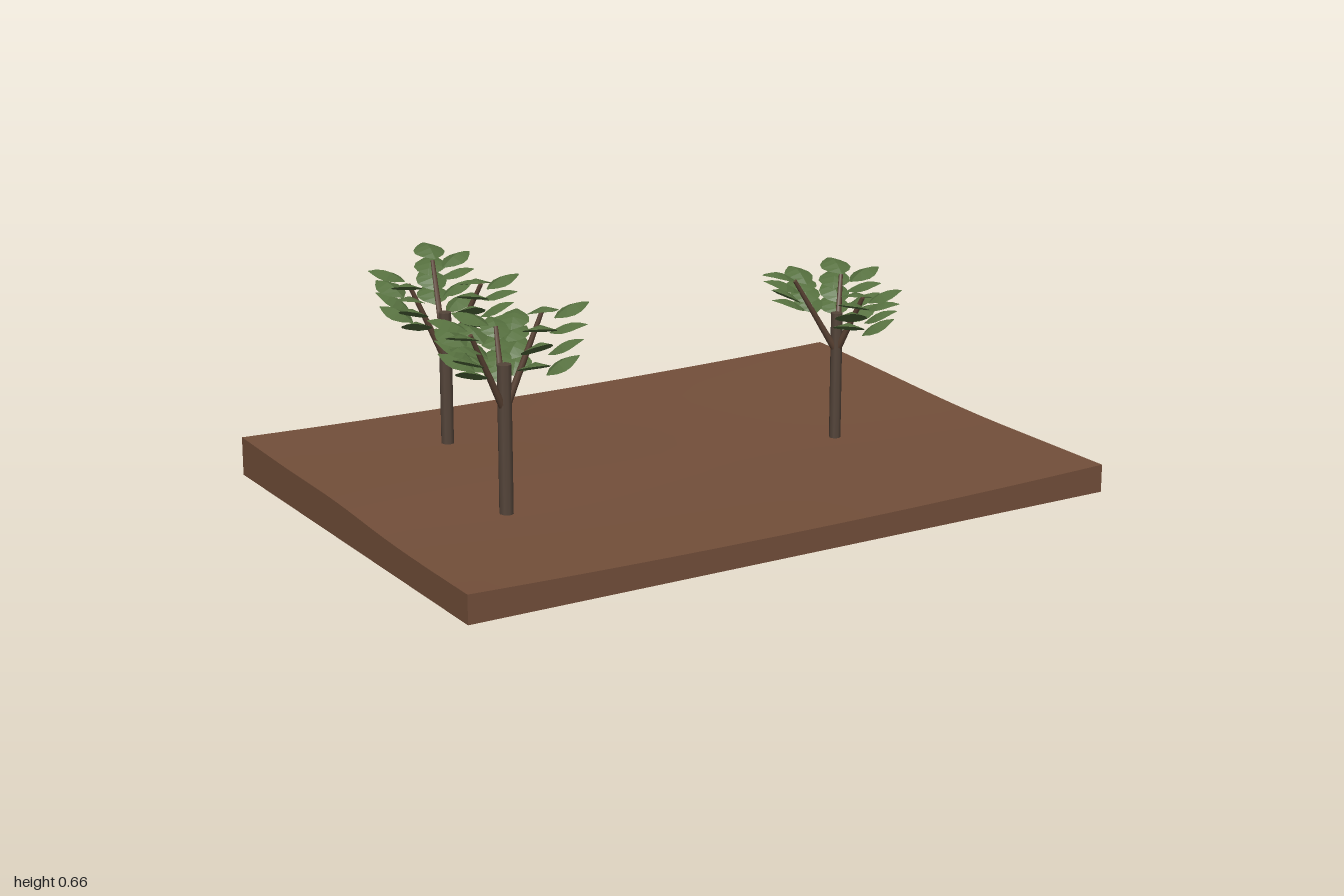
import * as THREE from 'three';

const mat = (name, color, side = THREE.FrontSide) => {
  const m = new THREE.MeshStandardMaterial({ color, side });
  m.name = name;
  return m;
};

// Each branch: horizontal end offset, lowest and highest leaf, centres of its two leaf stacks
const TREES = [
  { x: -0.625, z: 0.2, r: 0.02, top: 0.49, fork: 0.36, branches: [
    { end: [-0.12, 0.045], low: 0.51, high: 0.615, stacks: [[-0.135, -0.03], [-0.145, 0.07]] },
    { end: [0.03, -0.1], low: 0.47, high: 0.585, stacks: [[-0.02, -0.145], [0.1, -0.125], [0.035, -0.11]] },
    { end: [0.09, 0.045], low: 0.5, high: 0.65, stacks: [[0.055, 0.09], [0.15, 0.07]] }] },
  { x: -0.495, z: -0.4, r: 0.019, top: 0.48, fork: 0.34, branches: [
    { end: [-0.11, 0], low: 0.48, high: 0.595, stacks: [[-0.13, -0.07], [-0.125, 0.045]] },
    { end: [0.03, -0.13], low: 0.5, high: 0.62, stacks: [[0.045, -0.175], [0.085, -0.085]] },
    { end: [0.065, 0.1], low: 0.47, high: 0.595, stacks: [[0.02, 0.125], [0.118, 0.1]] }] },
  { x: 0.525, z: 0.07, r: 0.017, top: 0.445, fork: 0.33, branches: [
    { end: [-0.14, -0.01], low: 0.49, high: 0.575, stacks: [[-0.17, -0.02], [-0.08, -0.055]] },
    { end: [0.075, -0.09], low: 0.44, high: 0.55, stacks: [[0.08, -0.13], [0.12, -0.04]] },
    { end: [0.03, 0.085], low: 0.43, high: 0.525, stacks: [[-0.02, 0.105], [0.08, 0.105]] }] },
];

// Gently rolling soil, rising to the back and its corners
function groundHeight(x, z) {
  const back = THREE.MathUtils.smoothstep(0.25 - z, 0, 1.1);
  const leftSwell = 0.014 * Math.exp(-(((z + 0.05) / 0.3) ** 2)) * THREE.MathUtils.smoothstep(-x, -0.6, 0.6);
  return 0.066 + 0.034 * back + 0.014 * x * x + leftSwell;
}

function groundGeometry() {
  const g = new THREE.BoxGeometry(2, 1, 1.4, 24, 1, 18);
  const p = g.attributes.position;
  for (let i = 0; i < p.count; i++) {
    p.setY(i, p.getY(i) > 0 ? groundHeight(p.getX(i), p.getZ(i)) : 0);
  }
  g.computeVertexNormals();
  return g;
}

// One arched, faceted leaf along +x, centred on its origin
function leafGeometry() {
  const g = new THREE.PlaneGeometry(1, 1, 5, 2).rotateX(-Math.PI / 2);
  const p = g.attributes.position;
  for (let i = 0; i < p.count; i++) {
    const u = p.getX(i) + 0.5;
    const v = p.getZ(i) * 2;
    const halfWidth = 0.03 + 0.4 * Math.sin(Math.PI * Math.pow(u, 0.9));
    p.setXYZ(i, u - 0.5, 0.22 * Math.sin(u * 2.5) - 0.13 - 0.14 * v * v * Math.sin(Math.PI * u), v * halfWidth);
  }
  const flat = g.toNonIndexed();
  flat.computeVertexNormals();
  return flat;
}

// Tapered rod between two points
function rod(a, b, r0, r1, material, name) {
  const dir = b.clone().sub(a);
  const mesh = new THREE.Mesh(new THREE.CylinderGeometry(r1, r0, dir.length(), 8), material);
  mesh.position.copy(a).addScaledVector(dir, 0.5);
  mesh.quaternion.setFromUnitVectors(new THREE.Vector3(0, 1, 0), dir.normalize());
  mesh.name = name;
  return mesh;
}

export function createModel() {
  const model = new THREE.Group();
  model.name = 'treePlot';
  const soil = mat('soil', 0x734f3a);
  const bark = mat('bark', 0x55453a);
  const twig = mat('twig', 0x5c4435);
  const foliage = mat('foliage', 0x56703f, THREE.DoubleSide);

  const ground = new THREE.Mesh(groundGeometry(), soil);
  ground.name = 'ground';
  model.add(ground);

  const leafShape = leafGeometry();
  const leavesPerStack = 4;

  for (const t of TREES) {
    const tree = new THREE.Group();
    tree.name = 'tree';
    tree.position.set(t.x, 0, t.z);
    const foot = groundHeight(t.x, t.z) - 0.01;
    tree.add(rod(new THREE.Vector3(0, foot, 0), new THREE.Vector3(0, t.top, 0), t.r, t.r, bark, 'trunk'));

    for (const b of t.branches) {
      const [ex, ez] = b.end;
      const start = new THREE.Vector3(0, t.fork, 0);
      const end = new THREE.Vector3(ex, b.high - 0.02, ez);
      tree.add(rod(start, end, 0.011, 0.006, twig, 'branch'));

      // Leaves stacked up either side of the branch
      b.stacks.forEach(([sx, sz], s) => {
        const yaw = Math.atan2(-(sz - ez * 0.7), sx - ex * 0.7);
        for (let i = 0; i < leavesPerStack; i++) {
          const k = i / (leavesPerStack - 1);
          const leaf = new THREE.Mesh(leafShape, foliage);
          leaf.name = 'leaf';
          const drift = 0.25 * (k - 0.5);
          leaf.position.set(sx + ex * drift, b.low + (b.high - b.low) * k - s * 0.012, sz + ez * drift);
          leaf.rotation.set(0, yaw + 0.3 * Math.sin(i * 2.3 + s), 0.22 + 0.12 * Math.sin(i * 1.7 + s));
          leaf.scale.setScalar(0.108 - 0.006 * s);
          tree.add(leaf);
        }
      });
    }
    model.add(tree);
  }
  return model;
}
